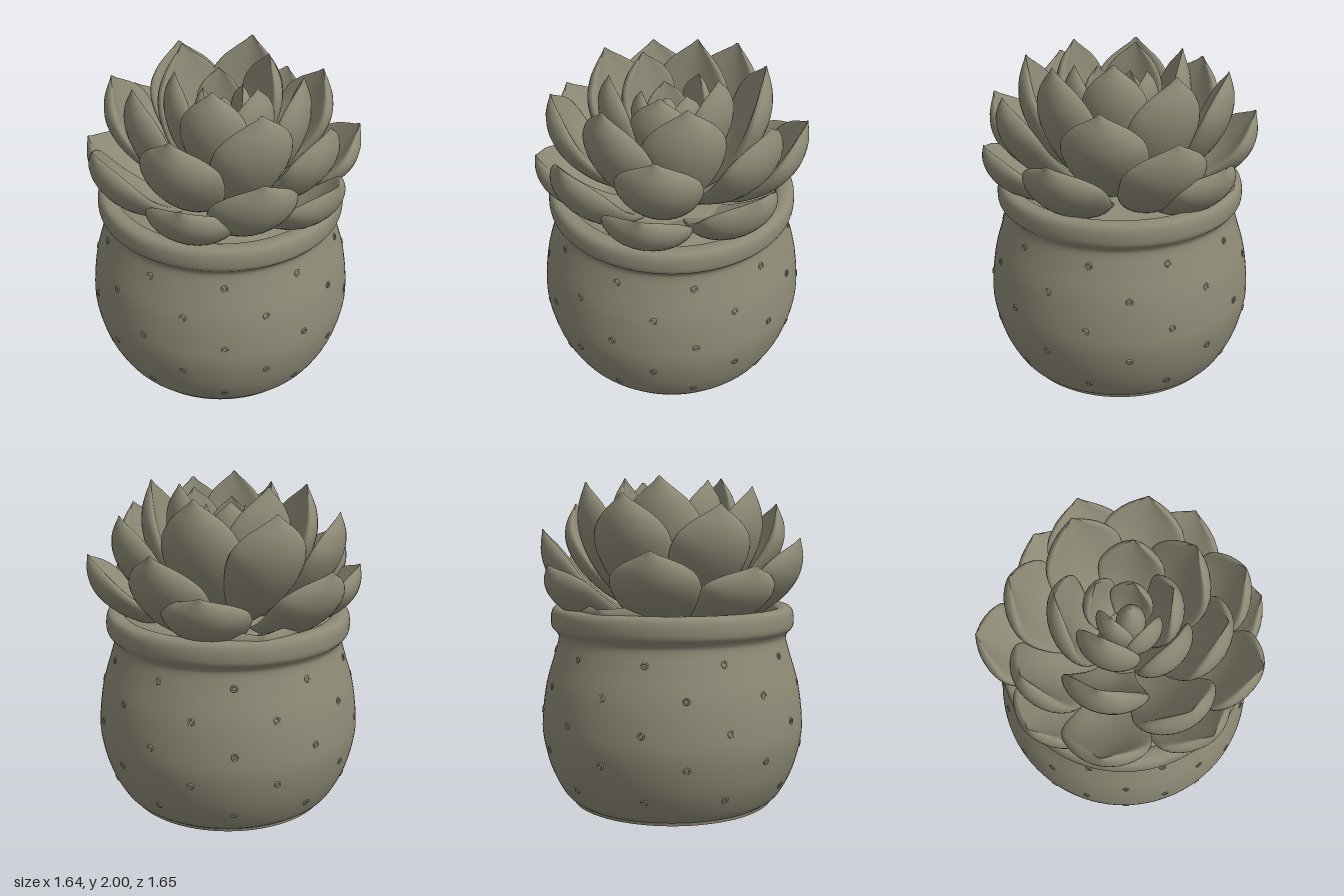
import * as THREE from 'three';

const clay = new THREE.MeshStandardMaterial({ color: 0x8c8975 });
clay.name = 'grey clay';

function add(parent, geometry, name) {
  const mesh = new THREE.Mesh(geometry, clay);
  mesh.name = name;
  parent.add(mesh);
  return mesh;
}

const v2 = (x, y) => new THREE.Vector2(x, y);
const lathe = (points, steps, sides) => new THREE.LatheGeometry(new THREE.SplineCurve(points).getPoints(steps), sides);

// Half-width along a leaf, from base to the small pointed tip
const outline = new THREE.SplineCurve([
  v2(0, 0.35), v2(0.2, 0.56), v2(0.4, 0.84), v2(0.6, 1), v2(0.75, 0.96),
  v2(0.86, 0.7), v2(0.93, 0.38), v2(0.97, 0.16), v2(1, 0.03),
]);

// Fleshy cupped leaf swept along a curved spine in the y-z plane
function leafGeometry(reach, top, { base, baseY, bulge, rise, width, thick, cup }) {
  const spine = new THREE.QuadraticBezierCurve(
    v2(base, baseY),
    v2(reach * bulge, baseY + (top - baseY) * rise),
    v2(reach, top),
  );
  const rings = 32, sides = 28, positions = [], index = [];
  for (let i = 0; i <= rings; i++) {
    const f = outline.getPoint(i / rings);
    const t = Math.min(1, Math.max(0, f.x));
    const p = spine.getPoint(t), d = spine.getTangent(t);
    const w = width * f.y, h = thick * f.y;
    for (let j = 0; j < sides; j++) {
      const a = (j / sides) * Math.PI * 2, c = Math.cos(a), s = Math.sin(a);
      // Full, rounded rim rather than a thin lens
      const v = h * s * (1.45 - 0.45 * s * s) + cup * w * (c * c - 0.3);
      positions.push(w * c, p.y + d.x * v, p.x - d.y * v);
      if (i < rings) {
        const k = i * sides + j, n = i * sides + (j + 1) % sides;
        index.push(k, n, k + sides, n, n + sides, k + sides);
      }
    }
  }
  // Closed tip and base
  for (let j = 1; j < sides - 1; j++) {
    const e = rings * sides;
    index.push(e, e + j, e + j + 1, 0, j + 1, j);
  }
  const g = new THREE.BufferGeometry();
  g.setAttribute('position', new THREE.Float32BufferAttribute(positions, 3));
  g.setIndex(index);
  g.computeVertexNormals();
  return g;
}

// Rosette layers; each tip is [x, y, z]
const layers = [
  {
    name: 'outerLeaf',
    shape: { base: 0.15, baseY: 1.1, bulge: 0.84, rise: 0.2, width: 0.255, thick: 0.06, cup: 0.33 },
    tips: [
      [-0.23, 1.59, -0.81], [0.5, 1.49, -0.65], [0.68, 1.69, -0.41], [0.8, 1.57, 0.28],
      [0.36, 1.5, 0.75], [-0.14, 1.67, 0.81], [-0.53, 1.5, 0.61], [-0.81, 1.64, 0.03],
      [-0.69, 1.5, -0.41], [0.14, 1.25, -0.7],
    ],
  },
  {
    name: 'middleLeaf',
    shape: { base: 0.1, baseY: 1.14, bulge: 0.94, rise: 0.34, width: 0.245, thick: 0.06, cup: 0.36 },
    tips: [
      [0.69, 1.84, 0.01], [0.37, 1.8, 0.62], [-0.03, 1.94, 0.57], [-0.52, 1.84, 0.46],
      [-0.53, 1.94, -0.03], [-0.5, 1.84, -0.46], [0.02, 1.9, -0.64], [0.4, 1.97, -0.37],
      [0.36, 1.98, 0.33], [-0.08, 2, -0.36],
    ],
  },
  {
    name: 'innerLeaf',
    shape: { base: 0.06, baseY: 1.25, bulge: 1.12, rise: 0.42, width: 0.19, thick: 0.05, cup: 0.36 },
    tips: [[0.32, 2, -0.01], [0.11, 1.93, 0.25], [-0.2, 2, 0.31], [-0.26, 1.98, -0.06]],
  },
  {
    name: 'coreLeaf',
    shape: { base: 0.03, baseY: 1.35, bulge: 1.3, rise: 0.45, width: 0.13, thick: 0.035, cup: 0.36 },
    tips: [[0.07, 1.9, -0.17], [-0.1, 1.87, 0.15], [0.13, 1.86, 0.03], [-0.09, 1.85, -0.05]],
  },
];

export function createModel() {
  const model = new THREE.Group();
  model.name = 'pottedSucculent';

  // Pot: rounded belly flowing through a pinched neck into a rolled rim
  const pot = new THREE.Group();
  pot.name = 'pot';
  model.add(pot);
  add(pot, lathe([
    v2(0.635, 0.02), v2(0.69, 0.07), v2(0.765, 0.22), v2(0.81, 0.4), v2(0.814, 0.54),
    v2(0.787, 0.74), v2(0.735, 0.92), v2(0.708, 1.02), v2(0.718, 1.06), v2(0.75, 1.1),
    v2(0.752, 1.17), v2(0.735, 1.21), v2(0.7, 1.222), v2(0.66, 1.215), v2(0.64, 1.19), v2(0.635, 1.1),
  ], 75, 96), 'potBody');
  add(pot, new THREE.CylinderGeometry(0.635, 0.63, 0.022, 96), 'potFoot').position.y = 0.011;
  add(pot, lathe([v2(0.64, 1.14), v2(0.5, 1.17), v2(0.25, 1.2), v2(0.001, 1.21)], 12, 64), 'soil');

  // Small raised rings in staggered rows: [height, radius, outward normal's rise]
  const ringGeometry = new THREE.TorusGeometry(0.016, 0.006, 6, 10);
  const rows = [
    [0.17, 0.745, -0.45], [0.375, 0.806, -0.15], [0.57, 0.812, 0.08], [0.76, 0.782, 0.22], [0.95, 0.726, 0.27],
  ];
  rows.forEach(([y, r, slope], row) => {
    for (let i = 0; i < 10; i++) {
      const a = ((row % 2 ? -6 : 12) + i * 36) * Math.PI / 180;
      const s = Math.sin(a), c = Math.cos(a);
      const ring = add(pot, ringGeometry, 'raisedRing');
      ring.position.set(r * s, y, r * c);
      ring.lookAt((r + 1) * s, y + slope, (r + 1) * c);
    }
  });

  // Rosette
  const rosette = new THREE.Group();
  rosette.name = 'rosette';
  model.add(rosette);
  for (const { name, shape, tips } of layers) {
    for (const [x, y, z] of tips) {
      const leaf = add(rosette, leafGeometry(Math.hypot(x, z), y, shape), name);
      leaf.rotation.y = Math.atan2(x, z);
    }
  }

  // Closed bud and the stem that carries the leaves
  const bud = [v2(0.001, 1.35), v2(0.06, 1.45), v2(0.085, 1.6), v2(0.075, 1.7), v2(0.035, 1.78), v2(0.001, 1.81)];
  add(rosette, lathe(bud, 20, 24), 'bud').position.z = 0.04;
  add(rosette, new THREE.CylinderGeometry(0.1, 0.2, 0.4, 32), 'stem').position.y = 1.32;

  return model;
}
